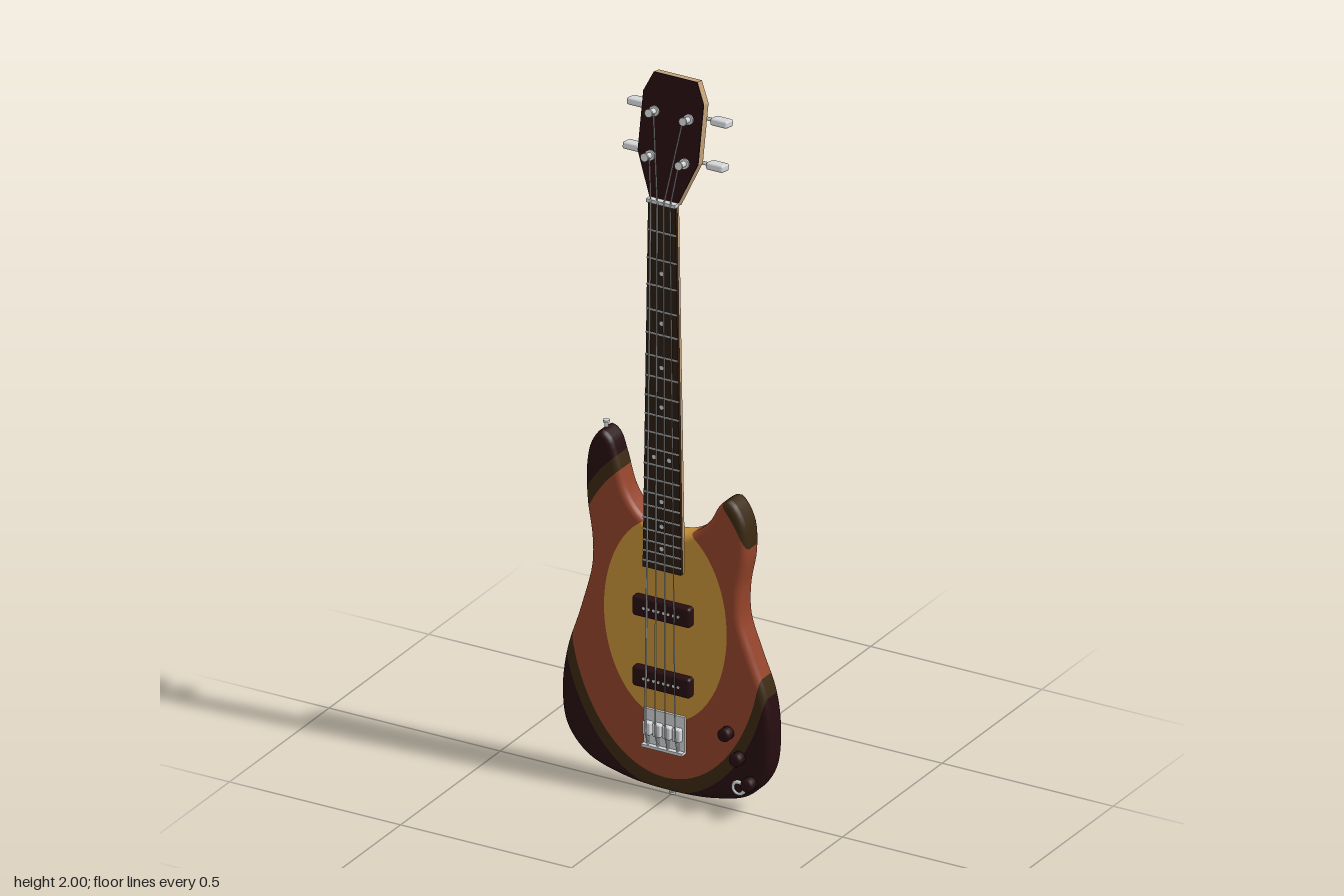
import * as THREE from 'three';
import { RoundedBoxGeometry } from 'three/addons/geometries/RoundedBoxGeometry.js';

const mat = (name, color, side = THREE.FrontSide) => {
  const m = new THREE.MeshStandardMaterial({ color, side });
  m.name = name;
  return m;
};
const AMBER = mat('amber', 0xc9933a), RUST = mat('rust', 0x94432a), UMBER = mat('umber', 0x3b2912),
  BLACK = mat('maroon black', 0x260d10), MAPLE = mat('maple', 0xc0a077), ROSEWOOD = mat('rosewood', 0x2c1d12),
  CHROME = mat('chrome', 0xd4d6d8);

const BACK = -0.044, FRONT = 0.03, BEVEL = 0.018;   // body depth and edge rounding
const NUT_Y = 1.675, BOARD_END = 0.645, SCALE = 1.475;
const halfWidth = y => 0.056 - 0.016 * (y - BOARD_END) / (NUT_Y - BOARD_END);

function add(parent, name, geo, material, x = 0, y = 0, z = 0) {
  const m = new THREE.Mesh(geo, material);
  m.name = name;
  m.position.set(x, y, z);
  parent.add(m);
  return m;
}
const box = (w, h, d) => new THREE.BoxGeometry(w, h, d);
const discZ = (r, d, n = 16) => new THREE.CylinderGeometry(r, r, d, n).rotateX(Math.PI / 2);

// straight rod between two points
function rod(parent, name, a, b, r, material) {
  const p = new THREE.Vector3(...a), d = new THREE.Vector3(...b).sub(p);
  const m = add(parent, name, new THREE.CylinderGeometry(r, r, d.length(), 6), material);
  m.position.copy(p).addScaledVector(d, 0.5);
  m.quaternion.setFromUnitVectors(new THREE.Vector3(0, 1, 0), d.normalize());
}

function plate(points, depth) {
  const s = new THREE.Shape(points.map(p => new THREE.Vector2(...p)));
  return new THREE.ExtrudeGeometry(s, { depth, bevelEnabled: false });
}

// keep the part of a polygon where f >= 0, interpolating every component
function clip(poly, f) {
  const out = [];
  poly.forEach((a, i) => {
    const b = poly[(i + 1) % poly.length], fa = f(a), fb = f(b);
    if (fa >= 0) out.push(a);
    if ((fa >= 0) !== (fb >= 0)) out.push(a.map((v, k) => v + (b[k] - v) * fa / (fa - fb)));
  });
  return out;
}

// rounded slab body, cut into elliptical sunburst bands
function bodyGeometry() {
  const outline = [
    [-0.192, 0.982], [-0.222, 0.945], [-0.236, 0.88], [-0.234, 0.78], [-0.22, 0.68], [-0.221, 0.6], [-0.255, 0.47],
    [-0.294, 0.345], [-0.307, 0.23], [-0.291, 0.135], [-0.23, 0.066], [-0.12, 0.03], [0, 0.02], [0.13, 0.028],
    [0.24, 0.062], [0.29, 0.13], [0.303, 0.23], [0.29, 0.345], [0.25, 0.45], [0.217, 0.545], [0.216, 0.63],
    [0.233, 0.73], [0.225, 0.82], [0.185, 0.873], [0.154, 0.855], [0.122, 0.8], [0.07, 0.755], [0, 0.742],
    [-0.07, 0.768], [-0.115, 0.822], [-0.145, 0.915], [-0.165, 0.966]];
  const curve = new THREE.CatmullRomCurve3(outline.map(p => new THREE.Vector3(p[0], p[1], 0)), true);
  const N = 180, RINGS = 16, CY = 0.3;
  // each row: inward offset, fan fraction, z, outward and z parts of the normal
  const rows = [];
  for (let i = 0; i < RINGS; i++) rows.push([BEVEL, i / RINGS, FRONT, 0, 1]);
  for (const s of [1, -1]) {
    for (let k = 0; k <= 5; k++) {
      const a = (s > 0 ? 5 - k : k) / 5 * Math.PI / 2, c = Math.cos(a), q = Math.sin(a);
      rows.push([BEVEL * (1 - c), 1, s > 0 ? FRONT - BEVEL * (1 - q) : BACK + BEVEL * (1 - q), c, s * q]);
    }
  }
  for (let i = RINGS - 1; i >= 0; i--) rows.push([BEVEL, i / RINGS, BACK, 0, -1]);
  const samples = [];
  for (let j = 0; j < N; j++) {
    const p = curve.getPointAt(j / N), t = curve.getTangentAt(j / N), nx = t.y, ny = -t.x;
    samples.push(rows.map(([inset, f, z, no, nz]) => [
      (p.x - nx * inset) * f, CY + (p.y - ny * inset - CY) * f, z, nx * no, ny * no, nz]));
  }
  const reach = v => Math.hypot(v[0] / 0.64, v[1] - 0.5);
  const limits = [-1, 0.28, 0.44, 0.48, 9];
  const pos = [], nor = [], geo = new THREE.BufferGeometry();
  for (let band = 0; band < 4; band++) {
    const start = pos.length / 3;
    for (let j = 0; j < N; j++) {
      const A = samples[j], B = samples[(j + 1) % N];
      for (let i = 0; i < rows.length - 1; i++) {
        for (const tri of [[A[i], A[i + 1], B[i + 1]], [A[i], B[i + 1], B[i]]]) {
          const poly = clip(clip(tri, v => reach(v) - limits[band]), v => limits[band + 1] - reach(v));
          for (let k = 1; k < poly.length - 1; k++) {
            for (const v of [poly[0], poly[k], poly[k + 1]]) {
              pos.push(v[0], v[1], v[2]);
              nor.push(v[3], v[4], v[5]);
            }
          }
        }
      }
    }
    geo.addGroup(start, pos.length / 3 - start, band);
  }
  geo.setAttribute('position', new THREE.Float32BufferAttribute(pos, 3));
  geo.setAttribute('normal', new THREE.Float32BufferAttribute(nor, 3));
  return geo;
}

export function createModel() {
  const g = new THREE.Group();
  g.name = 'bassGuitar';
  add(g, 'body', bodyGeometry(), [AMBER, RUST, UMBER, BLACK]);

  // neck with rounded back, fingerboard, frets and dots
  const len = NUT_Y - BOARD_END, midY = (NUT_Y + BOARD_END) / 2;
  const neckGeo = new THREE.CylinderGeometry(0.04, 0.056, len, 24, 1, false, Math.PI / 2, Math.PI);
  add(g, 'neck', neckGeo.scale(1, 1, 0.8), MAPLE, 0, midY, 0.037);
  add(g, 'fingerboard', plate([[-0.056, BOARD_END], [0.056, BOARD_END], [0.04, NUT_Y], [-0.04, NUT_Y]], 0.011),
    ROSEWOOD, 0, 0, 0.037);
  const fretY = n => NUT_Y - SCALE * (1 - 2 ** (-n / 12));
  for (let n = 1; n <= 20; n++) {
    add(g, 'fret', box(2 * halfWidth(fretY(n)), 0.004, 0.003), CHROME, 0, fretY(n), 0.0495);
  }
  for (const n of [3, 5, 7, 9, 12, 15, 17, 19]) {
    for (const x of n === 12 ? [-0.022, 0.022] : [0]) {
      add(g, 'fretDot', discZ(0.006, 0.002, 12), CHROME, x, fretY(n - 0.5), 0.048);
    }
  }
  add(g, 'nut', box(0.084, 0.01, 0.02), CHROME, 0, NUT_Y, 0.044);

  // tilted headstock, local z = 0 is its front face
  const head = new THREE.Group();
  head.name = 'headstock';
  head.position.set(0, 1.67, 0.04);
  head.rotation.x = -0.18;
  g.add(head);
  const half = [[0.038, 0], [0.088, 0.122], [0.088, 0.28], [0.063, 0.335]];
  const headOutline = [...half, ...half.map(([x, y]) => [-x, y]).reverse()];
  add(head, 'headstockCore', plate(headOutline, 0.022), MAPLE, 0, 0, -0.026);
  add(head, 'headstockFace', plate(headOutline, 0.004), BLACK, 0, 0, -0.004);
  const posts = [];
  for (const s of [-1, 1]) {
    for (const y of [0.117, 0.234]) {
      const x = s * 0.05;
      add(head, 'tunerWasher', discZ(0.014, 0.006), CHROME, x, y, 0.002);
      add(head, 'tunerPost', discZ(0.008, 0.03), CHROME, x, y, 0.015);
      add(head, 'tunerCap', discZ(0.011, 0.005), CHROME, x, y, 0.03);
      add(head, 'tunerHousing', new RoundedBoxGeometry(0.036, 0.028, 0.026, 2, 0.005), CHROME, x, y, -0.038);
      rod(head, 'tunerShaft', [x, y, -0.042], [s * 0.11, y, -0.042], 0.005, CHROME);
      add(head, 'tunerButton', new RoundedBoxGeometry(0.05, 0.02, 0.036, 2, 0.006), CHROME, s * 0.122, y, -0.042);
      posts.push([x, y]);
    }
  }

  // strings from bridge over the nut to the posts
  head.updateMatrix();
  const order = [posts[0], posts[1], posts[3], posts[2]];
  const inner = [0, 1, 3, 2].map(i => order[i]);
  for (let i = 0; i < 4; i++) {
    const k = i - 1.5, top = [k * 0.019, NUT_Y, 0.055];
    const p = i < 2 ? inner[i] : order[i === 2 ? 2 : 3];
    const end = new THREE.Vector3(p[0] * 0.86, p[1], 0.018).applyMatrix4(head.matrix).toArray();
    rod(g, 'string', [k * 0.029, 0.19, 0.056], top, 0.0024 - i * 0.0003, CHROME);
    rod(g, 'stringEnd', top, end, 0.0018, CHROME);
    rod(g, 'stringTail', [k * 0.029, 0.145, 0.043], [k * 0.029, 0.19, 0.056], 0.002, CHROME);
    // saddle with its screw
    add(g, 'saddle', new RoundedBoxGeometry(0.024, 0.036, 0.018, 2, 0.004), CHROME, k * 0.029, 0.195, 0.044);
    rod(g, 'saddleScrew', [k * 0.029, 0.145, 0.042], [k * 0.029, 0.19, 0.042], 0.003, CHROME);
  }
  add(g, 'bridgePlate', box(0.12, 0.105, 0.008), CHROME, 0, 0.192, 0.033);
  add(g, 'bridgeLip', box(0.12, 0.008, 0.02), CHROME, 0, 0.144, 0.04);

  // pickups with paired pole pieces
  for (const y of [0.53, 0.333]) {
    add(g, 'pickup', new RoundedBoxGeometry(0.17, 0.056, 0.028, 3, 0.009), BLACK, -0.002, y, 0.038);
    for (let i = 0; i < 8; i++) {
      const x = (Math.floor(i / 2) - 1.5) * 0.029 + (i % 2 ? 0.007 : -0.007);
      add(g, 'polePiece', discZ(0.004, 0.003, 10), CHROME, x, y, 0.052);
    }
  }

  // control knobs and output jack
  for (let i = 0; i < 3; i++) {
    add(g, 'knob', new RoundedBoxGeometry(0.026, 0.026, 0.01, 2, 0.004), BLACK, 0.183 + i * 0.0335, 0.23 - i * 0.0625, 0.034);
    const profile = [[0, 0], [0.018, 0], [0.018, 0.022], [0.014, 0.028], [0, 0.028]].map(p => new THREE.Vector2(...p));
    add(g, 'knobCap', new THREE.LatheGeometry(profile, 20).rotateX(Math.PI / 2), BLACK,
      0.183 + i * 0.0335, 0.23 - i * 0.0625, 0.03);
  }
  add(g, 'jackRing', new THREE.TorusGeometry(0.016, 0.005, 8, 24), CHROME, 0.215, 0.083, 0.031);
  add(g, 'jackHole', discZ(0.012, 0.004), BLACK, 0.215, 0.083, 0.031);

  // strap buttons
  for (const [x, y, s] of [[-0.194, 0.985, 1], [0, 0.016, -1]]) {
    add(g, 'strapPin', new THREE.CylinderGeometry(0.005, 0.005, 0.02, 12), CHROME, x, y, -0.007);
    add(g, 'strapButton', new THREE.CylinderGeometry(0.009, 0.009, 0.006, 16), CHROME, x, y + s * 0.012, -0.007);
  }
  return g;
}
